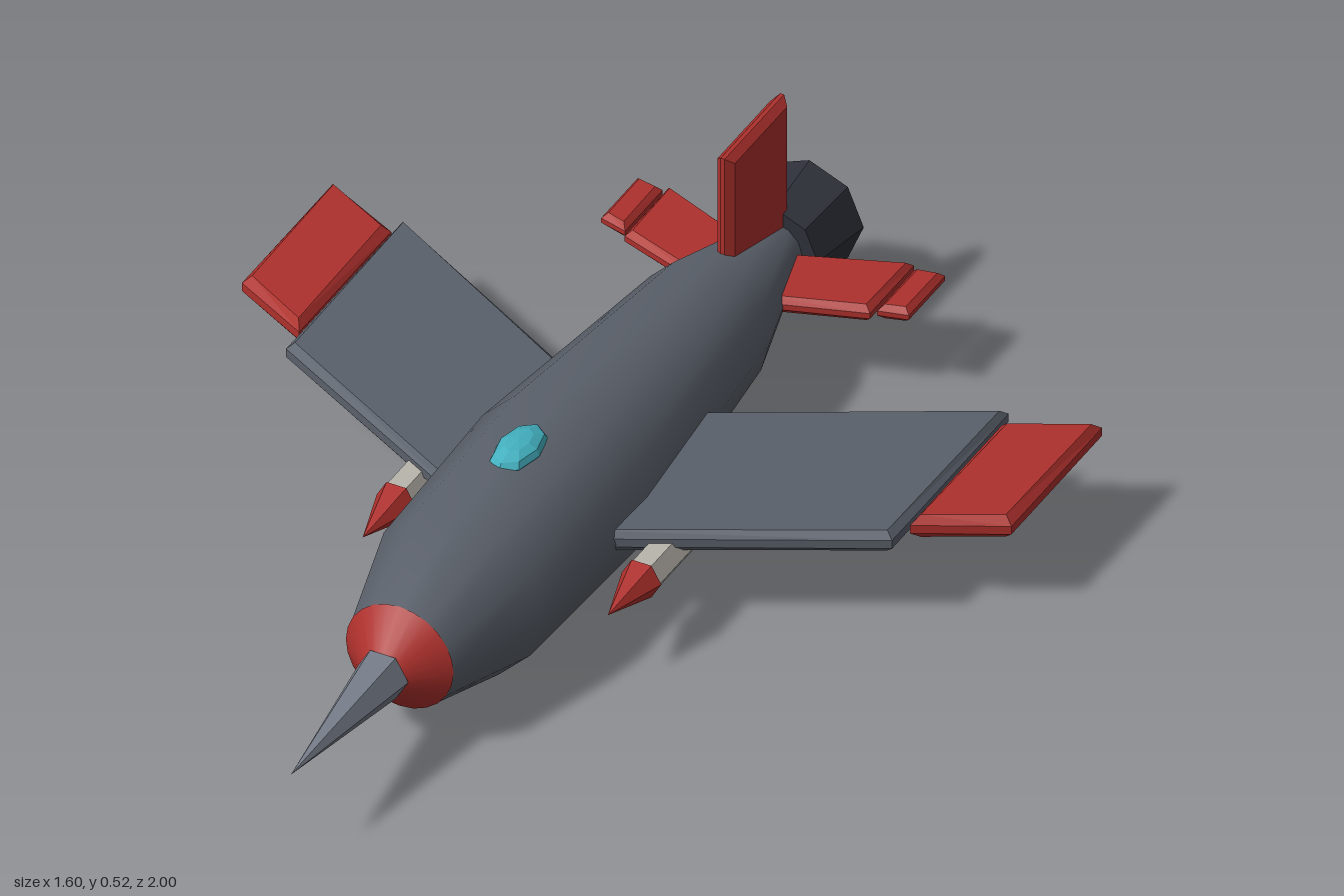
import * as THREE from 'three';

const AXIS_Y = 0.19; // height of the body axis

const paint = (color, extra = {}) => new THREE.MeshStandardMaterial({ color, ...extra });
const flat = { flatShading: true };
const hull = paint(0x5a606a);
const wingGrey = paint(0x5a606a, flat);
const spikeGrey = paint(0x757c88, flat);
const red = paint(0xad302c, flat);
const redSmooth = paint(0xad302c);
const teal = paint(0x43b0bf, flat);
const podGrey = paint(0xb9b5ac, flat);
const dark = paint(0x2d3038, flat);
const orange = paint(0xb8651f, { flatShading: true, side: THREE.DoubleSide });

export function createModel() {
  const model = new THREE.Group();
  model.name = 'rocketPlane';

  const add = (name, geometry, material, x = 0, y = 0, z = 0) => {
    const mesh = new THREE.Mesh(geometry, material);
    mesh.name = name;
    mesh.position.set(x, y, z);
    model.add(mesh);
    return mesh;
  };

  // Body of revolution along z, from [radius, z] pairs running back to front
  const turned = (profile, sides) =>
    new THREE.LatheGeometry(profile.map(([r, z]) => new THREE.Vector2(r, z)), sides).rotateX(Math.PI / 2);

  // Six-sided bar or cone along z between two stations
  const hexBar = (rFront, rBack, zFront, zBack) =>
    new THREE.CylinderGeometry(rFront, rBack, zFront - zBack, 6, 1, false, Math.PI / 6)
      .rotateX(Math.PI / 2).translate(0, 0, (zFront + zBack) / 2);

  // Bevelled slab, centred on its own thickness
  const slab = (points, thickness, bevel) =>
    new THREE.ExtrudeGeometry(new THREE.Shape(points.map(([a, b]) => new THREE.Vector2(a, b))), {
      depth: thickness - 2 * bevel,
      bevelThickness: bevel, bevelSize: bevel, bevelOffset: -bevel, bevelSegments: 1,
    }).translate(0, 0, -(thickness - 2 * bevel) / 2);

  // Horizontal slab from [x, z] corners, mirrored by side
  const panel = (side, points, thickness, bevel) =>
    slab(points.map(([x, z]) => [side * x, -z]), thickness, bevel).rotateX(-Math.PI / 2);

  // Fuselage, nose ring and spike
  add('fuselage', turned([
    [0.057, -0.87], [0.133, -0.6], [0.187, -0.04], [0.175, 0.36], [0.112, 0.58],
  ], 12), hull, 0, AXIS_Y);
  add('noseRing', turned([[0.112, 0.58], [0.045, 0.645]], 24), redSmooth, 0, AXIS_Y);
  add('noseCap', new THREE.CircleGeometry(0.045, 24), redSmooth, 0, AXIS_Y, 0.645);
  add('noseSpike', hexBar(0, 0.053, 1, 0.645), spikeGrey, 0, AXIS_Y);

  // Canopy
  const canopy = add('canopy', new THREE.SphereGeometry(1, 8, 6), teal, 0, 0.364, 0.12);
  canopy.scale.set(0.043, 0.025, 0.08);

  // Wings, tailplanes and underwing missiles on both sides
  for (const [label, s] of [['left', 1], ['right', -1]]) {
    add(label + 'Wing', panel(s, [[0.08, 0.14], [0.63, -0.15], [0.63, -0.6], [0.08, -0.3]], 0.046, 0.014),
      wingGrey, 0, 0.193);
    add(label + 'WingTip', panel(s, [[0.635, -0.21], [0.8, -0.295], [0.8, -0.645], [0.635, -0.565]], 0.05, 0.016),
      red, 0, 0.191);
    add(label + 'Tailplane', panel(s, [[0.03, -0.685], [0.255, -0.76], [0.255, -0.93], [0.03, -0.845]], 0.036, 0.012),
      red, 0, 0.191);
    add(label + 'TailplaneTip', panel(s, [[0.262, -0.775], [0.32, -0.79], [0.32, -0.93], [0.262, -0.92]], 0.032, 0.011),
      red, 0, 0.191);
    add(label + 'MissileBody', hexBar(0.038, 0.038, 0.12, -0.2), podGrey, s * 0.255, 0.16);
    add(label + 'MissileTip', hexBar(0, 0.041, 0.25, 0.12), red, s * 0.255, 0.16);
  }

  // Upright tail fin
  add('tailFin', slab([[-0.665, 0.2], [-0.665, 0.52], [-0.895, 0.52], [-0.895, 0.2]], 0.036, 0.014)
    .rotateY(-Math.PI / 2), red);

  // Engine nozzle with glowing bowl
  add('nozzle', turned([[0.113, -1], [0.09, -0.865], [0, -0.865]], 8), dark, 0, AXIS_Y);
  add('exhaustBowl', turned([[0.113, -1], [0.075, -0.995], [0.045, -0.92], [0, -0.915]], 8), orange, 0, AXIS_Y);

  return model;
}
